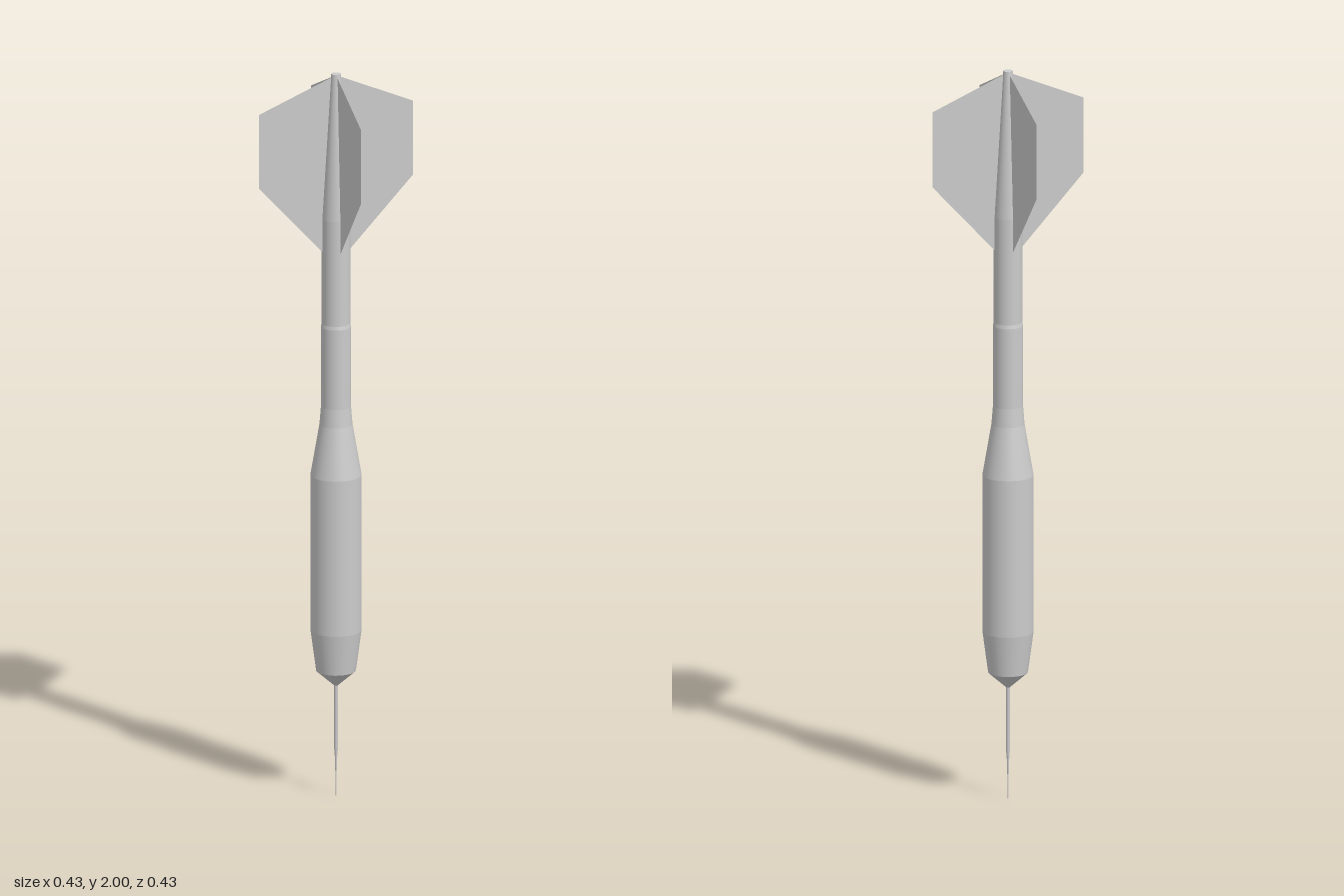
import * as THREE from 'three';

const material = new THREE.MeshStandardMaterial({ color: 0xcccccc });
const thin = new THREE.MeshStandardMaterial({ color: 0xcccccc, side: THREE.DoubleSide });

// Turned part from [radius, y] stations; every band keeps a crisp edge to the next.
function turned(name, stations, sides = 32) {
  const part = new THREE.Group();
  part.name = name;
  for (let i = 0; i < stations.length - 1; i++) {
    const [r0, y0] = stations[i];
    const [r1, y1] = stations[i + 1];
    const band = new THREE.Mesh(new THREE.CylinderGeometry(r1, r0, y1 - y0, sides, 1, true), material);
    band.position.y = (y0 + y1) / 2;
    band.name = name + 'Band' + (i + 1);
    part.add(band);
  }
  return part;
}

export function createModel() {
  const dart = new THREE.Group();
  dart.name = 'dart';

  // Needle with a finer tip
  dart.add(turned('needle', [[0.001, 0], [0.0025, 0.1], [0.005, 0.13], [0.005, 0.32]], 12));

  // Barrel: nose cone, lower taper, grip, shoulder
  dart.add(turned('barrel', [[0.004, 0.305], [0.053, 0.348], [0.068, 0.46], [0.068, 0.89], [0.044, 1.03]]));

  // Shaft, narrowing between the fins
  dart.add(turned('shaft', [[0.044, 1.03], [0.04, 1.08], [0.04, 1.3], [0.038, 1.31], [0.038, 1.6], [0.013, 2]]));

  // Flat cap closing the shaft
  const cap = new THREE.Mesh(new THREE.CircleGeometry(0.013, 32), material);
  cap.rotation.x = -Math.PI / 2;
  cap.position.y = 2;
  cap.name = 'shaftCap';
  dart.add(cap);

  // Four thin fins in a cross
  const outline = new THREE.Shape([[0, 1.47], [0.038, 1.51], [0.214, 1.7], [0.214, 1.906], [0, 1.996]]
    .map(([x, y]) => new THREE.Vector2(x, y)));
  const finGeometry = new THREE.ShapeGeometry(outline);
  for (let i = 0; i < 4; i++) {
    const fin = new THREE.Mesh(finGeometry, thin);
    fin.rotation.y = i * Math.PI / 2;
    fin.name = 'fin' + (i + 1);
    dart.add(fin);
  }
  return dart;
}
